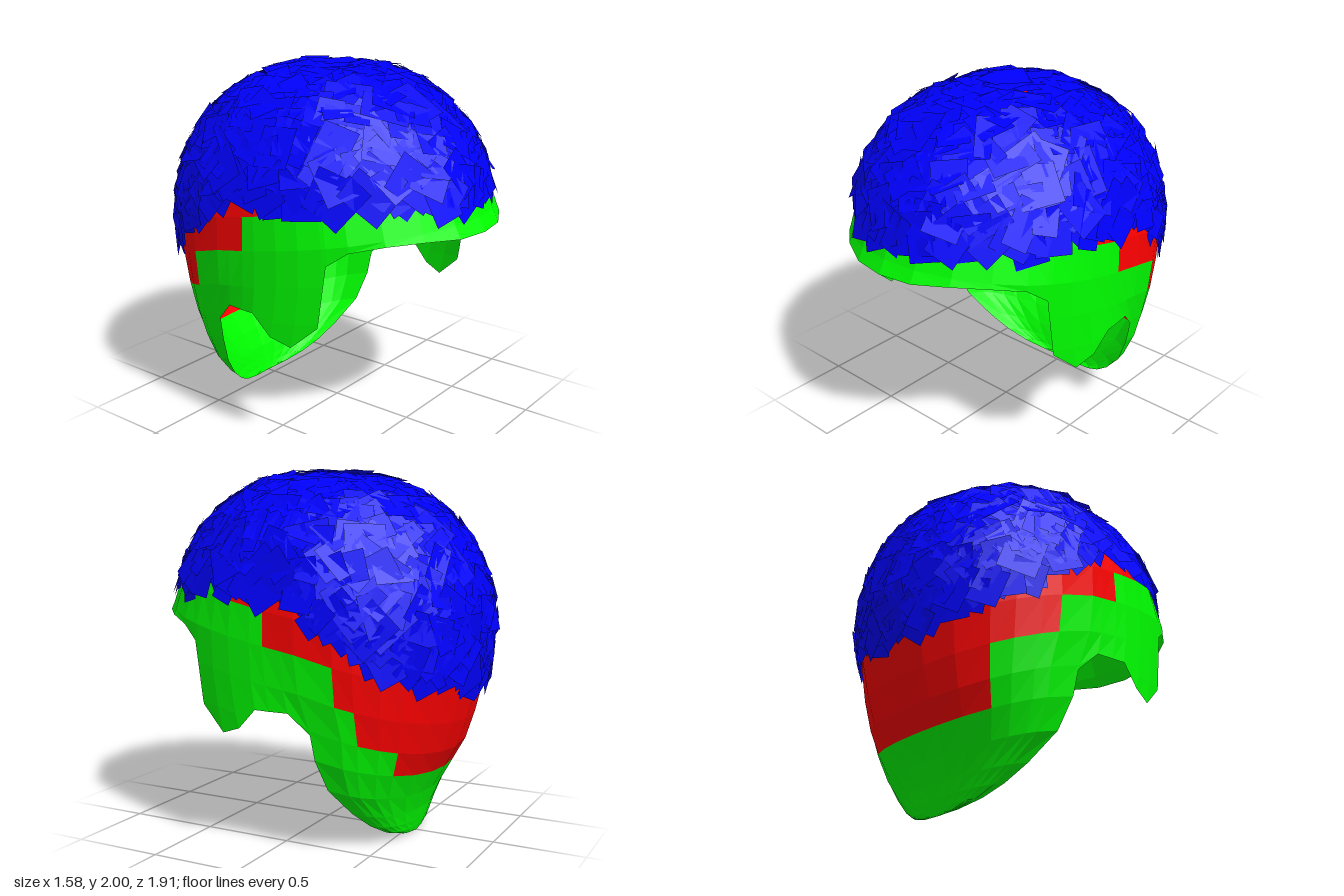
import * as THREE from 'three';
import { mergeGeometries } from 'three/addons/utils/BufferGeometryUtils.js';

// Rings of the head shell: height, half width, front z, back z, z where the back starts to curve in
const RINGS = [
  [0, 0, -0.55, -0.55, -0.55], [0.01, 0.12, 0.6, -0.555, -0.53], [0.04, 0.24, 0.6, -0.565, -0.495],
  [0.09, 0.34, 0.65, -0.58, -0.45], [0.16, 0.43, 0.7, -0.6, -0.41],
  [0.3, 0.58, 0.8, -0.66, -0.32], [0.5, 0.67, 0.87, -0.78, -0.27], [0.65, 0.7, 0.9, -0.83, -0.265],
  [0.8, 0.74, 0.93, -0.875, -0.22], [1.0, 0.765, 0.95, -0.91, -0.2], [1.2, 0.77, 0.95, -0.92, -0.2],
  [1.32, 0.758, 0.885, -0.905, -0.19], [1.5, 0.72, 0.83, -0.85, -0.17], [1.65, 0.645, 0.74, -0.765, -0.14],
  [1.8, 0.53, 0.575, -0.62, -0.08], [1.9, 0.38, 0.4, -0.43, -0.03], [1.95, 0.24, 0.26, -0.28, -0.01],
  [1.972, 0, 0, 0, 0],
];
// Columns from front to back: azimuth in degrees and height of the lower edge there
const COLUMNS = [
  [0, 1.2], [13, 1.2], [26, 1.21], [38.5, 1.2], [49.3, 1.165], [55.6, 1.09], [56.8, 0.75],
  [63.5, 0.62], [70, 0.66], [77, 0.77], [81, 0.767], [86, 0.765], [90, 0.65], [90, 0],
  [106, 0], [114, 0], [125, 0], [135, 0], [150, 0], [165, 0], [180, 0],
];
const LEVELS = [0, 0.013, 0.05, 0.11, 0.2, 0.35, 0.52, 0.68, 0.87, 1.07, 1.25, 1.4, 1.55, 1.7, 1.82, 1.91, 1.95, 1.972];
// First azimuth of the scalp colour in each row, from the row at 0.52 upwards
const FIRST_SCALP_ROW = 6, SCALP_START = [135, 114, 106, 81, 70];
// Lower limit of the hair: azimuth, height
const HAIRLINE = [[0, 1.29], [40, 1.3], [60, 1.29], [80, 1.29], [90, 1.26], [106, 1.11], [123, 0.95], [145, 0.86], [180, 0.78]];

// Linear lookup in a table sorted by its first entry
function lookup(table, key) {
  let i = 1;
  while (i < table.length - 1 && table[i][0] < key) i++;
  const p = table[i - 1], q = table[i];
  const t = THREE.MathUtils.clamp((key - p[0]) / (q[0] - p[0]), 0, 1);
  return p.map((v, k) => v + (q[k] - v) * t);
}

// Point on the shell at an azimuth (0 = front, 90 = left) and a height
function surface(deg, y) {
  const [, w, front, back, mid] = lookup(RINGS, y);
  const a = THREE.MathUtils.degToRad(deg), s = Math.sin(a), c = Math.cos(a);
  if (c <= 0) return new THREE.Vector3(w * s, y, mid + c * (mid - back));
  // The sides run straight past the temples before curving in, and the ear flaps stay wide
  const z = mid + c * (front - mid), bend = mid + 0.26 * w;
  const u = Math.max(0, z - bend) / Math.max(1e-6, front - bend);
  const wide = y < 1 ? w + (0.765 - w) * Math.min(1, 4 * c) : w;
  return new THREE.Vector3(Math.sign(s) * wide * Math.sqrt(Math.max(0, 1 - u * u)), y, z);
}

// Rows dip towards the back and stop at the lower edge
function gridPoint([deg, edge], level) {
  const tilt = Math.min(0.2, 0.25 * level) * Math.min(1, (1.972 - level) / 0.6);
  const y = level + Math.cos(THREE.MathUtils.degToRad(deg)) * tilt;
  return surface(deg, Math.max(edge, y));
}

function buildShell() {
  const border = [], scalp = [];
  for (const side of [1, -1]) {
    for (let c = 0; c < COLUMNS.length - 1; c++) {
      const left = COLUMNS[c], right = COLUMNS[c + 1];
      // The doubled column is the vertical step behind the ear
      if (left[0] === right[0]) continue;
      for (let r = 0; r < LEVELS.length - 1; r++) {
        const a = gridPoint(left, LEVELS[r + 1]), b = gridPoint(left, LEVELS[r]);
        const d = gridPoint(right, LEVELS[r]), e = gridPoint(right, LEVELS[r + 1]);
        let start = r < FIRST_SCALP_ROW ? 999 : SCALP_START[r - FIRST_SCALP_ROW] ?? 0;
        if (side < 0 && r === FIRST_SCALP_ROW + 1) start = 135;
        const out = left[0] >= start ? scalp : border;
        for (const tri of [[a, b, d], [a, d, e]]) {
          if (new THREE.Triangle(...tri).getArea() < 1e-6) continue;
          if (side < 0) tri.reverse();
          for (const p of tri) out.push(p.x * side, p.y, p.z);
        }
      }
    }
  }
  return [border, scalp].map((list) => {
    const g = new THREE.BufferGeometry();
    g.setAttribute('position', new THREE.Float32BufferAttribute(list, 3));
    g.computeVertexNormals();
    return g;
  });
}

// Overlapping flat patches, turned at random and laid along the shell
function buildHair() {
  let seed = 7;
  const rand = () => (seed = (seed * 16807) % 2147483647) / 2147483647;
  const patches = [], count = 850, centre = new THREE.Vector3(0, 1.1, 0);
  for (let i = 0; i < count; i++) {
    const y = 0.82 + 1.151 * (i + 0.5) / count;
    const deg = (i * 137.508) % 360;
    if (y < lookup(HAIRLINE, deg > 180 ? 360 - deg : deg)[1] + 0.085) continue;
    const p = surface(deg, y);
    const along = surface(deg + 2, y).sub(surface(deg - 2, y));
    const up = surface(deg, Math.min(1.97, y + 0.03)).sub(surface(deg, y - 0.03));
    const normal = along.cross(up).normalize();
    if (normal.dot(p.clone().sub(centre)) < 0) normal.negate();
    // Patches lie flat at the crown
    if (y > 1.955) normal.set(0, 1, 0);
    p.addScaledVector(normal, 0.008 + 0.012 * rand());
    normal.add(new THREE.Vector3(rand() - 0.5, rand() - 0.5, rand() - 0.5).multiplyScalar(0.2)).normalize();
    const g = new THREE.PlaneGeometry(0.12 + 0.09 * rand(), 0.16 + 0.1 * rand());
    g.rotateZ((rand() - 0.5) * 2.4);
    g.applyQuaternion(new THREE.Quaternion().setFromUnitVectors(new THREE.Vector3(0, 0, 1), normal));
    g.translate(p.x, p.y, p.z);
    patches.push(g);
  }
  return mergeGeometries(patches);
}

export function createModel() {
  const model = new THREE.Group();
  const add = (name, geometry, color) => {
    const material = new THREE.MeshStandardMaterial({ color, flatShading: true, side: THREE.DoubleSide });
    const mesh = new THREE.Mesh(geometry, material);
    mesh.name = name;
    model.add(mesh);
  };
  const [border, scalp] = buildShell();
  add('shellBorder', border, 0x00ff00);
  add('scalp', scalp, 0xff0000);
  add('hairPatches', buildHair(), 0x0000ff);
  return model;
}
